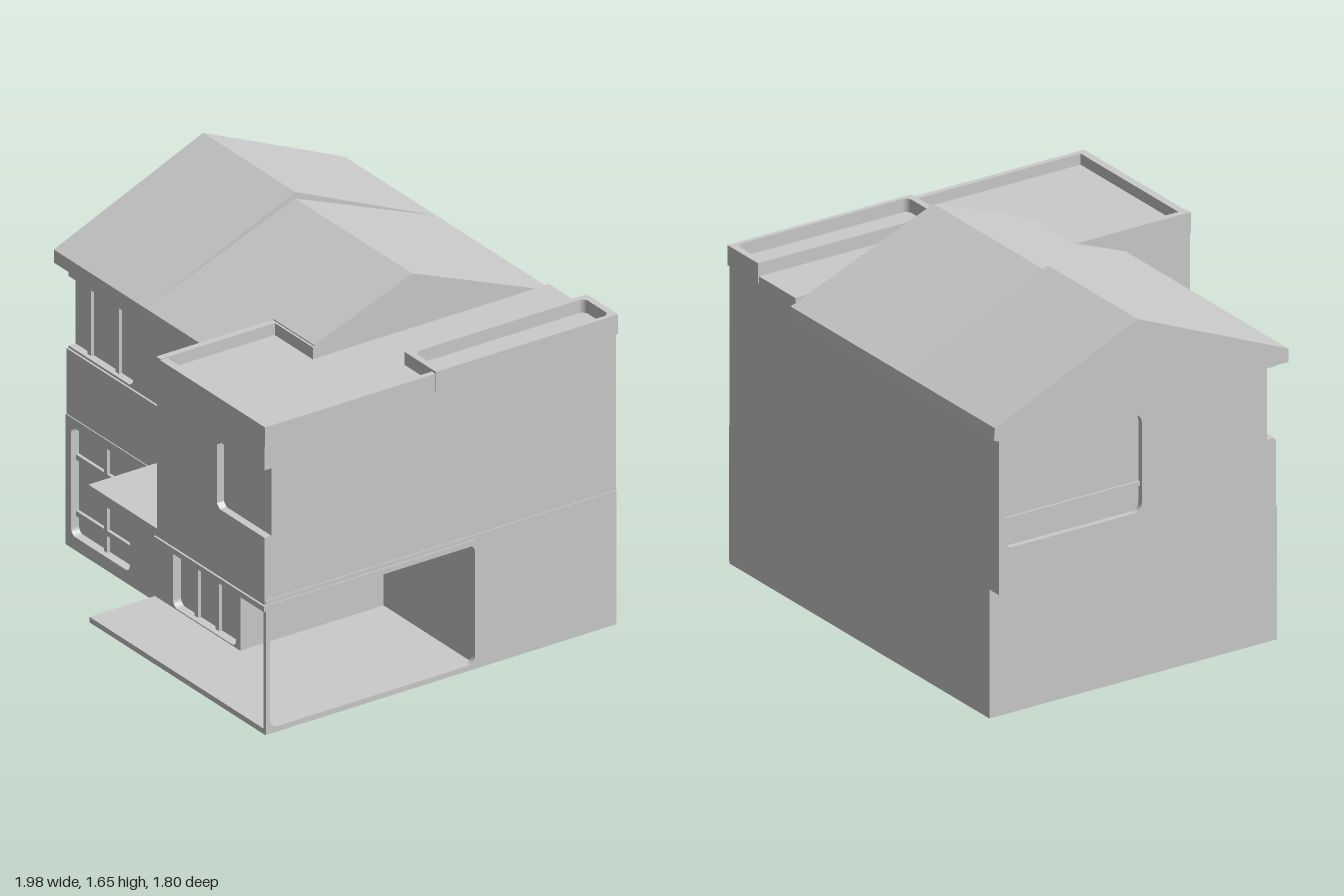
import * as THREE from 'three';

const material = new THREE.MeshStandardMaterial({ color: 0xcccccc, side: THREE.DoubleSide });

const polygon = (pts) => new THREE.Shape(pts.map(([a, b]) => new THREE.Vector2(a, b)));

// Rounded rectangle path, used for openings
function opening(a0, b0, a1, b1, r = 0.03) {
  const p = new THREE.Path();
  p.absarc(a1 - r, b1 - r, r, 0, Math.PI / 2);
  p.absarc(a0 + r, b1 - r, r, Math.PI / 2, Math.PI);
  p.absarc(a0 + r, b0 + r, r, Math.PI, Math.PI * 1.5);
  p.absarc(a1 - r, b0 + r, r, Math.PI * 1.5, Math.PI * 2);
  p.closePath();
  return p;
}

const rect = (a0, b0, a1, b1) => [[a0, b0], [a1, b0], [a1, b1], [a0, b1]];

function extrude(pts, holes, depth) {
  const shape = polygon(pts);
  shape.holes.push(...holes);
  return new THREE.ExtrudeGeometry(shape, { depth, bevelEnabled: false, curveSegments: 5 });
}

export function createModel() {
  const house = new THREE.Group();
  house.name = 'house';

  const add = (name, geometry) => {
    const mesh = new THREE.Mesh(geometry, material);
    mesh.name = name;
    house.add(mesh);
  };
  // Plan outline in (x, z) raised from y0 to y1
  const plan = (name, pts, y0, y1, holes = []) =>
    add(name, extrude(pts.map(([x, z]) => [x, -z]), holes, y1 - y0).rotateX(-Math.PI / 2).translate(0, y0, 0));
  // Outline in (x, y) running from z0 to z1
  const frontPanel = (name, pts, z0, z1, holes = []) =>
    add(name, extrude(pts, holes, z1 - z0).translate(0, 0, z0));
  // Outline in (-z, y) running from x0 to x1
  const sidePanel = (name, pts, x0, x1, holes = []) =>
    add(name, extrude(pts, holes, x1 - x0).rotateY(Math.PI / 2).translate(x0, 0, 0));
  const box = (name, x0, x1, y0, y1, z0, z1) =>
    add(name, new THREE.BoxGeometry(x1 - x0, y1 - y0, z1 - z0)
      .translate((x0 + x1) / 2, (y0 + y1) / 2, (z0 + z1) / 2));

  // Ground slab with the porch and carport floor
  plan('groundSlab', [[-0.92, -0.88], [0.98, -0.88], [0.98, 0.88], [-0.28, 0.88], [-0.28, 0.55], [-0.92, 0.55]], 0, 0.025);

  // Ground floor, leaving the carport free
  plan('groundFloor', [[-0.92, -0.88], [0.97, -0.88], [0.97, -0.17], [0.33, -0.17], [0.33, 0.51], [-0.92, 0.51]], 0.01, 0.59);
  frontPanel('groundFrontWall', rect(-0.92, 0.02, 0.33, 0.6), 0.51, 0.55,
    [opening(-0.88, 0.06, -0.46, 0.56), opening(-0.15, 0.03, 0.3, 0.56)]);
  // Window and door bars
  for (const y of [0.15, 0.41]) box('windowBar', -0.88, -0.46, y - 0.012, y + 0.012, 0.5, 0.525);
  box('windowPost', -0.682, -0.658, 0.06, 0.56, 0.5, 0.525);
  for (const x of [-0.02, 0.13]) box('doorPost', x - 0.012, x + 0.012, 0.03, 0.56, 0.5, 0.525);

  // Side wall with the large carport opening
  sidePanel('carportSideWall', rect(-0.88, 0.01, 0.88, 0.62), 0.965, 0.985, [opening(-0.86, 0.028, 0.17, 0.578, 0.04)]);

  // Upper floor under the pitched roof
  box('upperFloor', -0.92, 0.52, 0.58, 1.32, -0.88, 0.5);
  frontPanel('upperFrontWall', [
    [-0.92, 0.57], [0.21, 0.57], [0.21, 1.32], [-0.92, 1.32],
    [-0.92, 1.23], [-0.48, 1.23], [-0.46, 1.21], [-0.46, 0.93], [-0.48, 0.91], [-0.92, 0.91],
  ], 0.5, 0.535, [opening(0.0, 0.91, 0.15, 1.22)]);
  box('frontBand', -0.92, 0.21, 0.6, 0.9, 0.53, 0.545);
  for (const x of [-0.8, -0.6]) box('upperWindowPost', x - 0.012, x + 0.012, 0.91, 1.23, 0.49, 0.515);

  // Overhanging bay on the right side, with a recessed window
  box('bayCore', -0.965, -0.91, 0.58, 1.32, -0.88, -0.1);
  sidePanel('bayFrame', rect(0.1, 0.58, 0.88, 1.32), -0.99, -0.965, [opening(0.17, 0.78, 0.85, 1.22, 0.04)]);
  box('bayWindowBar', -0.975, -0.96, 0.89, 0.91, -0.85, -0.17);

  // Flat-roofed wing reaching over the carport
  plan('wing', [[0.5, -0.88], [0.98, -0.88], [0.98, 0.85], [0.21, 0.85], [0.21, 0.3], [0.5, 0.3]], 0.58, 1.37);
  frontPanel('wingFrontWall', [
    [0.21, 0.58], [0.98, 0.58], [0.98, 0.91], [0.66, 0.91], [0.64, 0.93],
    [0.64, 1.2], [0.66, 1.22], [0.98, 1.22], [0.98, 1.42], [0.21, 1.42],
  ], 0.85, 0.885);
  box('wingFloorEdge', 0.2, 0.99, 0.575, 0.6, -0.17, 0.895);

  // Low parapet round the front of the terrace
  box('parapetRight', 0.205, 0.235, 1.33, 1.425, 0.295, 0.885);
  box('parapetInner', 0.21, 0.51, 1.33, 1.425, 0.285, 0.31);
  box('parapetLeft', 0.96, 0.985, 1.33, 1.42, 0.0, 0.885);

  // Raised tray at the back of the terrace
  plan('terraceTray', rect(0.765, -0.885, 0.99, 0.03), 1.34, 1.43, [opening(0.79, 0.0, 0.97, 0.855, 0.03)]);

  // Porch canopy
  box('porchCanopy', -0.28, 0.22, 0.585, 0.635, 0.5, 0.885);

  // Pitched roof in three lengths; the last stops at the wing
  const roof = (x0, x1, ridge, front) => {
    const slope = (ridge - 1.33) / 0.75;
    const frontTop = ridge - slope * (front + 0.19);
    sidePanel('pitchedRoof', [
      [-front, 1.27], [-front, frontTop], [0.19, ridge], [0.9, 1.335], [0.905, 1.28], [0.88, 1.27],
    ], x0, x1);
  };
  roof(-0.99, -0.33, 1.65, 0.56);
  roof(-0.33, 0.21, 1.62, 0.56);
  roof(0.21, 0.505, 1.62, 0.3);
  return house;
}
